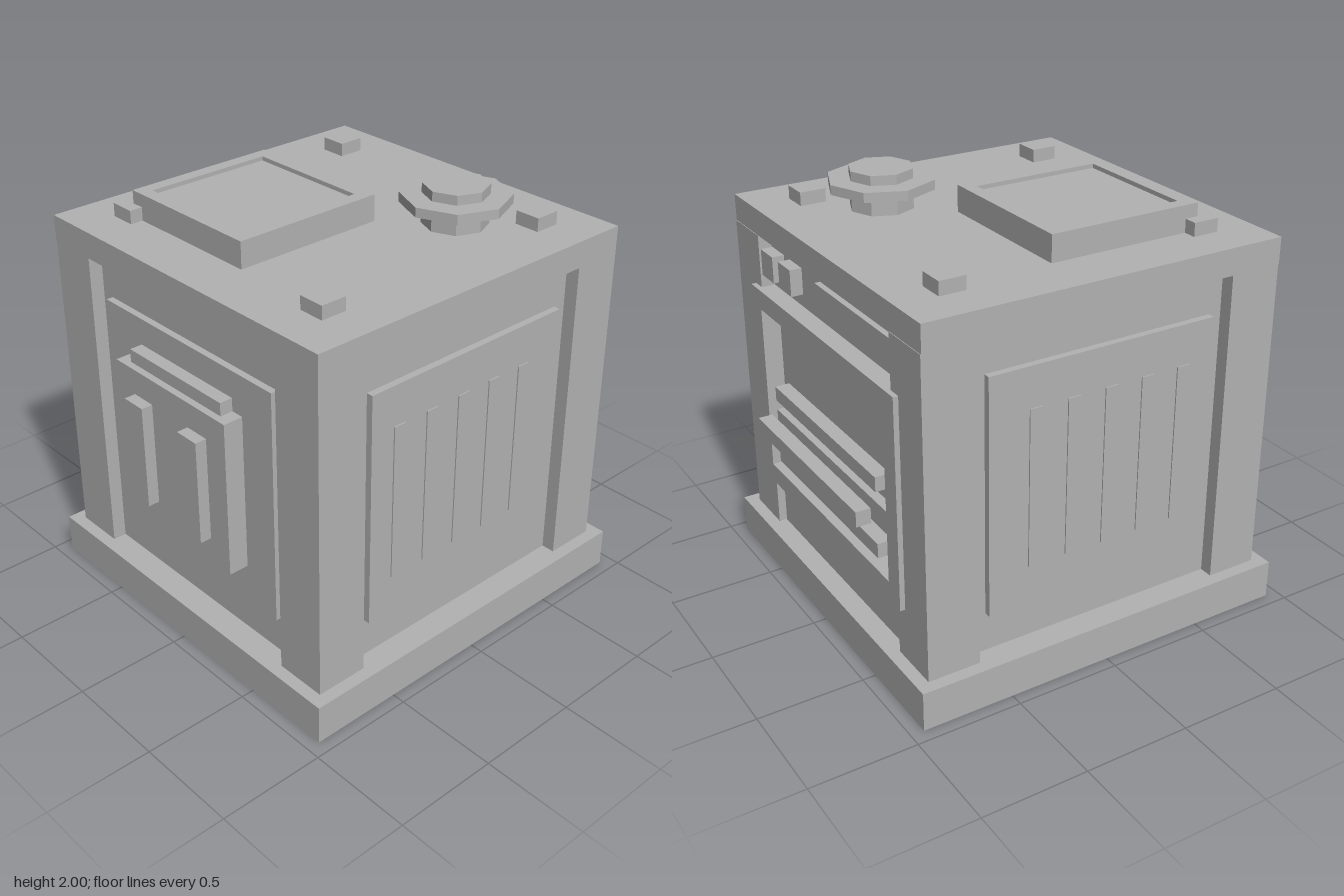
import * as THREE from 'three';

export function createModel() {
  const model = new THREE.Group();
  const grey = new THREE.MeshStandardMaterial({ color: 0xb2b2b2 });
  grey.name = 'grey metal';

  const add = (name, geometry, parent = model) => {
    const mesh = new THREE.Mesh(geometry, grey);
    mesh.name = name;
    parent.add(mesh);
    return mesh;
  };
  // Box given by its extents along each axis
  const box = (name, [x0, x1], [y0, y1], [z0, z1], parent) => {
    const mesh = add(name, new THREE.BoxGeometry(x1 - x0, y1 - y0, z1 - z0), parent);
    mesh.position.set((x0 + x1) / 2, (y0 + y1) / 2, (z0 + z1) / 2);
    return mesh;
  };
  // Rectangular frame with a rectangular opening, extruded along +z
  const frame = (name, w, h, holeW, holeH, depth, parent) => {
    const rect = (path, a, b) => path.moveTo(-a / 2, -b / 2).lineTo(a / 2, -b / 2)
      .lineTo(a / 2, b / 2).lineTo(-a / 2, b / 2).closePath();
    const shape = rect(new THREE.Shape(), w, h);
    shape.holes.push(rect(new THREE.Path(), holeW, holeH));
    return add(name, new THREE.ExtrudeGeometry(shape, { depth, bevelEnabled: false }), parent);
  };

  // Base and body with a recess in every side
  box('base', [-0.9375, 0.9375], [0, 0.1875], [-0.9375, 0.9375]);
  box('core', [-0.8125, 0.8125], [0.1875, 1.7], [-0.8125, 0.8125]);
  box('roof', [-0.88, 0.88], [1.69, 1.815], [-0.875, 0.88]);
  for (const sx of [-1, 1]) for (const sz of [-1, 1]) {
    const post = box('cornerPost', [-0.125, 0.125], [0.1875, 1.69], [-0.125, 0.125]);
    post.position.x = sx * 0.753;
    post.position.z = sz * 0.753;
    const peg = box('roofPeg', [-0.0625, 0.0625], [1.815, 1.878], [-0.0625, 0.0625]);
    peg.position.x = sx * 0.625;
    peg.position.z = sz * 0.625;
  }

  // Front panel with lock box, ledge and two handles
  box('frontPanel', [-0.5625, 0.5625], [0.378, 1.503], [0.8, 0.845]);
  box('lockBox', [-0.375, 0.375], [0.565, 1.3125], [0.84, 0.94]);
  box('lockLedge', [-0.3125, 0.3125], [1.3125, 1.375], [0.84, 0.907]);
  for (const s of [-1, 1]) {
    const handle = box('frontHandle', [-0.0625, 0.0625], [0.69, 1.19], [0.93, 0.995]);
    handle.position.x = s * 0.1875;
  }

  // Side panels with five vertical slots
  for (const s of [-1, 1]) {
    const side = new THREE.Group();
    side.name = 'sidePanel';
    model.add(side);
    box('sidePlate', [-0.0225, 0.0225], [0.378, 1.503], [-0.56, 0.566], side).position.x = s * 0.8225;
    for (let i = 0; i < 5; i++) {
      const z = 0.412 - i * 0.187;
      box('sideSlot', [-0.004, 0.004], [0.565, 1.3125], [z - 0.031, z + 0.031], side).position.x = s * 0.847;
    }
  }

  // Back grille: frame, shelf and bars
  frame('backFrame', 1.38, 1.0, 1.19, 0.81, 0.09).position.set(0, 0.94, -0.902);
  box('backShelf', [-0.595, 0.595], [0.75, 0.82], [-0.86, -0.8]);
  for (const y of [0.632, 0.955])
    box('backBar', [-0.5, 0.5], [y - 0.035, y + 0.035], [-0.9, -0.83]);
  box('outerBar', [-0.5, 0.5], [0.78, 0.852], [-0.995, -0.925]);

  // Small fittings above and below the grille
  box('backButton', [0.5, 0.625], [1.5, 1.625], [-0.87, -0.8]);
  box('backButton', [0.3125, 0.4375], [1.5, 1.625], [-0.87, -0.8]);
  box('backStrip', [-0.5625, 0.125], [1.5, 1.625], [-0.84, -0.8]);
  box('backSkirt', [-0.625, 0.625], [0.1875, 0.375], [-0.84, -0.8]);

  // Roof hatch with a shallow inset
  box('hatch', [-0.625, 0.125], [1.815, 1.92], [-0.125, 0.625]);
  const rim = frame('hatchRim', 0.75, 0.75, 0.625, 0.625, 0.02);
  rim.rotation.x = -Math.PI / 2;
  rim.position.set(-0.25, 1.92, 0.25);

  // Octagonal vent cap
  const octagon = (name, r, y0, y1) => {
    const geometry = new THREE.CylinderGeometry(r, r, y1 - y0, 8).toNonIndexed();
    geometry.computeVertexNormals();
    add(name, geometry).position.set(0.375, (y0 + y1) / 2, -0.375);
  };
  octagon('ventPipe', 0.15, 1.81, 2.0);
  octagon('ventFlange', 0.25, 1.91, 1.955);

  return model;
}
